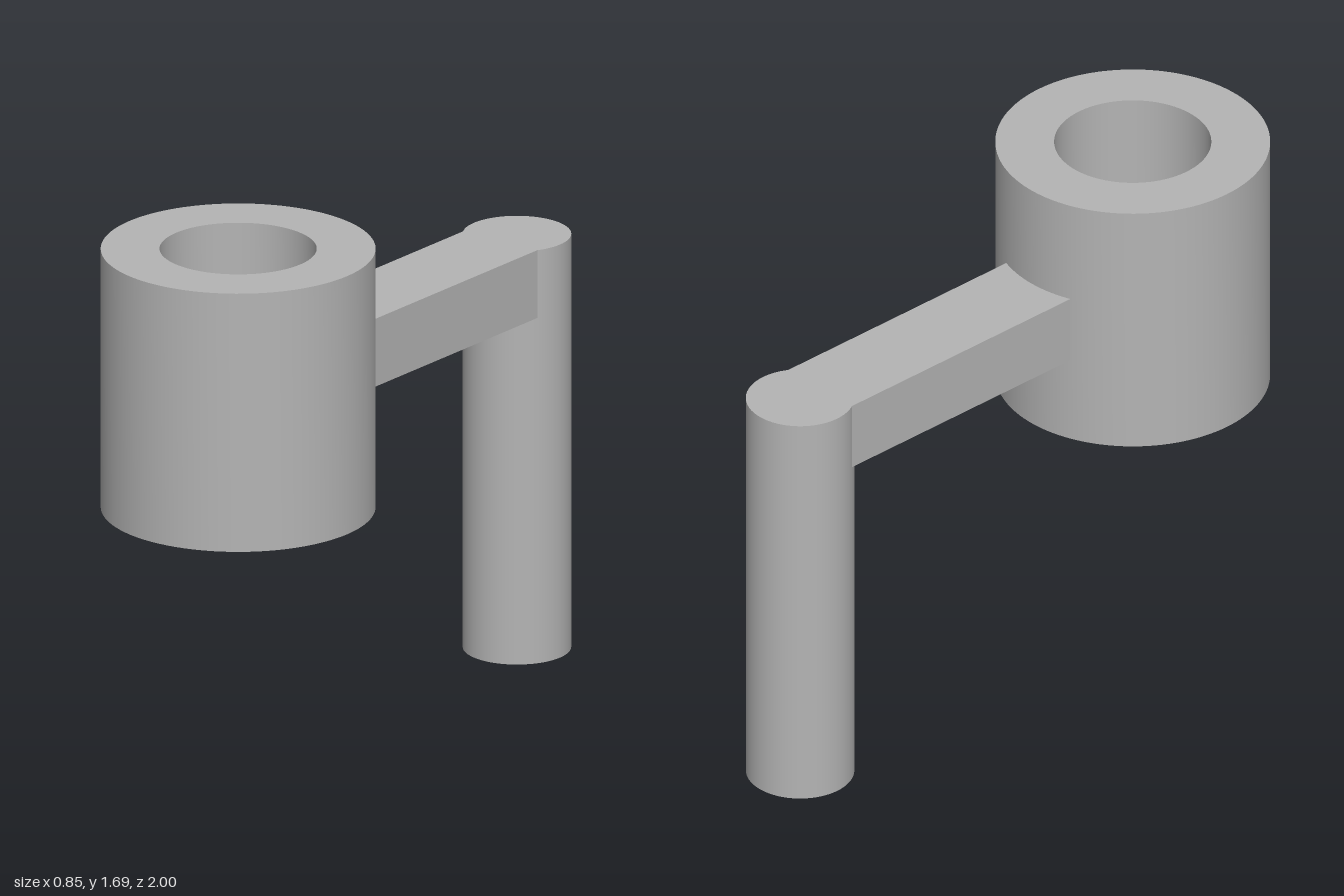
import * as THREE from 'three';
import { toCreasedNormals } from 'three/addons/utils/BufferGeometryUtils.js';

const RING = { z: 0.575, outer: 0.425, inner: 0.243, bottom: 0.845, top: 1.69 };
const POST = { z: -0.832, radius: 0.168, top: 1.352 };
const ARM = { half: 0.145, bottom: 1.13, top: 1.352 };

// Extrudes a plan outline (x, -z) upward between two heights
function extrudeUp(shape, bottom, top) {
  const g = new THREE.ExtrudeGeometry(shape, { depth: top - bottom, bevelEnabled: false, curveSegments: 64 });
  g.rotateX(-Math.PI / 2).translate(0, bottom, 0);
  return toCreasedNormals(g, Math.PI / 6);
}

export function createModel() {
  const group = new THREE.Group();
  const grey = new THREE.MeshStandardMaterial({ color: 0xb4b4b4 });
  grey.name = 'grey';

  const add = (name, geometry) => {
    const mesh = new THREE.Mesh(geometry, grey);
    mesh.name = name;
    group.add(mesh);
    return mesh;
  };

  // Thick open sleeve
  const sleeve = new THREE.Shape().absarc(0, -RING.z, RING.outer, 0, Math.PI * 2, false);
  sleeve.holes.push(new THREE.Path().absarc(0, -RING.z, RING.inner, 0, Math.PI * 2, true));
  add('sleeve', extrudeUp(sleeve, RING.bottom, RING.top));

  // Round post
  const post = add('post', new THREE.CylinderGeometry(POST.radius, POST.radius, POST.top, 64));
  post.position.set(0, POST.top / 2, POST.z);

  // Flat arm, hollowed at both ends to fit the sleeve and the post
  const rs = RING.outer - 0.003, rp = POST.radius - 0.002;
  const a = Math.asin(ARM.half / rs), b = Math.asin(ARM.half / rp), q = Math.PI / 2;
  const arm = new THREE.Shape();
  arm.absarc(0, -POST.z, rp, -q + b, -q - b, true);
  arm.absarc(0, -RING.z, rs, q + a, q - a, true);
  arm.closePath();
  add('arm', extrudeUp(arm, ARM.bottom, ARM.top));

  return group;
}
